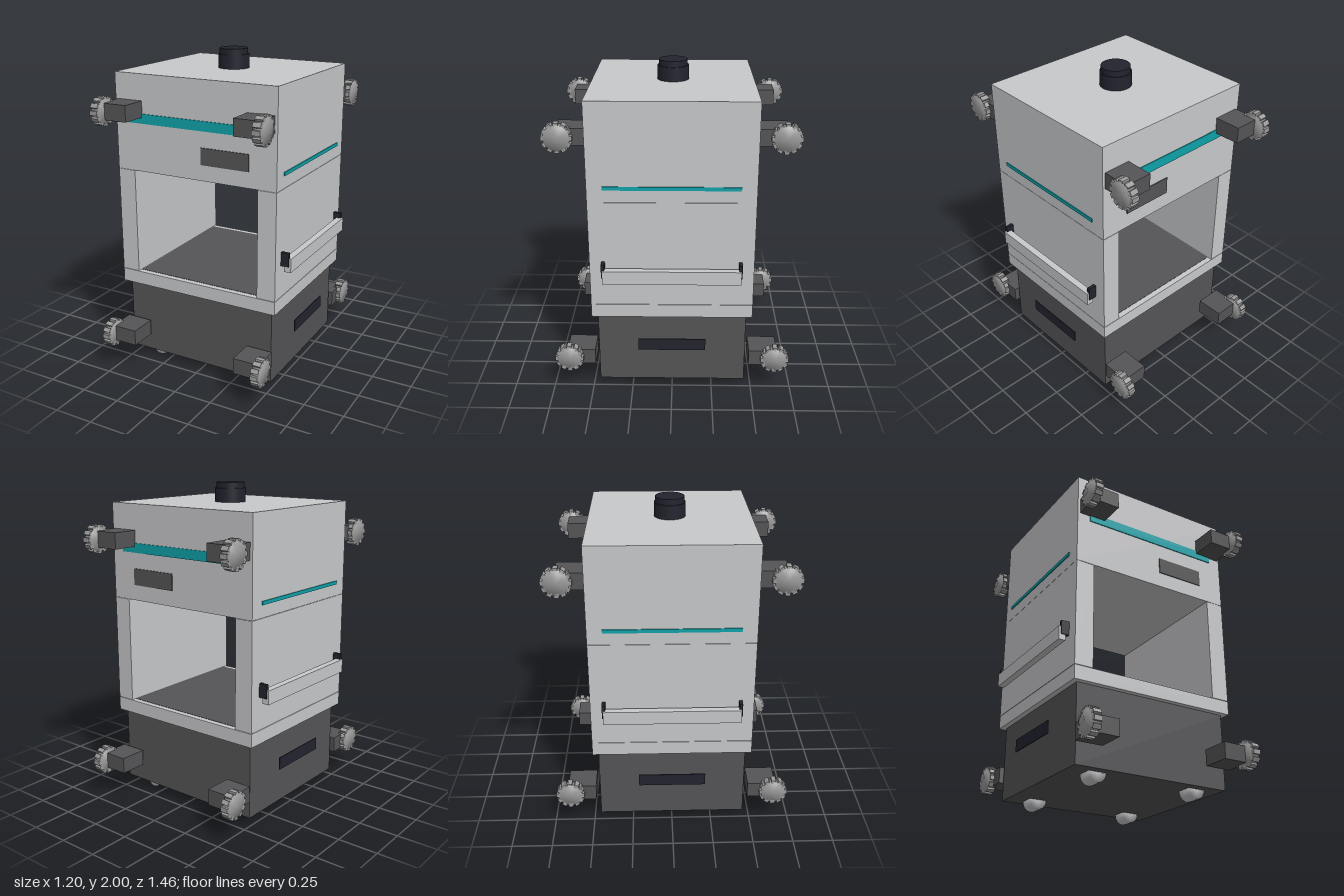
import * as THREE from 'three';

const mat = (name, color) => {
  const m = new THREE.MeshStandardMaterial({ color });
  m.name = name;
  return m;
};

export function createModel() {
  const model = new THREE.Group();
  const shell = mat('light grey shell', 0xc8c9cb);
  const dark = mat('charcoal', 0x555557);
  const navy = mat('navy black', 0x23232f);
  const teal = mat('teal accent', 0x0fa3aa);
  const metal = mat('gear grey', 0x9c9c9c);

  const add = (name, geometry, material, x = 0, y = 0, z = 0, parent = model) => {
    const mesh = new THREE.Mesh(geometry, material);
    mesh.name = name;
    mesh.position.set(x, y, z);
    parent.add(mesh);
    return mesh;
  };
  // Box given by its min and max on each axis
  const box = (name, material, x0, x1, y0, y1, z0, z1) =>
    add(name, new THREE.BoxGeometry(x1 - x0, y1 - y0, z1 - z0), material,
      (x0 + x1) / 2, (y0 + y1) / 2, (z0 + z1) / 2);
  // The same box, mirrored to the side sx = 1 or -1
  const sideBox = (name, material, sx, x0, x1, y0, y1, z0, z1) => {
    const mesh = box(name, material, x0, x1, y0, y1, z0, z1);
    mesh.position.x *= sx;
    return mesh;
  };
  // Softly shaded disc with its axis on y
  const disc = (r, h) => new THREE.LatheGeometry(
    [[0, -h / 2], [r, -h / 2], [r, h / 2], [0, h / 2]].map(p => new THREE.Vector2(...p)), 32);

  // Cabinet
  box('base', dark, -0.505, 0.505, 0.06, 0.53, -0.455, 0.455);
  box('tray', shell, -0.54, 0.54, 0.53, 0.615, -0.49, 0.49);
  box('chamberFloor', dark, -0.42, 0.42, 0.614, 0.617, -0.455, 0.455);
  box('upperHousing', shell, -0.54, 0.54, 1.285, 1.88, -0.49, 0.49);

  // Top knob
  add('knob', new THREE.CylinderGeometry(0.095, 0.095, 0.085, 40), navy, 0, 1.9225, 0);
  add('knobCap', new THREE.CylinderGeometry(0.087, 0.087, 0.035, 40), navy, 0, 1.9825, 0);

  // Side walls, handles and side trim
  for (const sx of [1, -1]) {
    sideBox('sideWall', shell, sx, 0.422, 0.54, 0.618, 1.283, -0.49, 0.49);
    sideBox('sideAccent', teal, sx, 0.54, 0.546, 1.36, 1.382, -0.40, 0.40);
    sideBox('sideVent', navy, sx, 0.541, 0.547, 0.298, 0.376, -0.207, 0.207);
    sideBox('handleBar', shell, sx, 0.56, 0.602, 0.785, 0.87, -0.412, 0.412);
    for (const z of [-0.408, 0.408])
      sideBox('handleBracket', navy, sx, 0.54, 0.59, 0.82, 0.905, z - 0.01, z + 0.01);
  }

  // Trim on the front and back faces
  for (const sz of [1, -1]) {
    const strip = box('accentStrip', teal, -0.455, 0.455, 1.583, 1.642, 0.488, 0.496);
    const panel = box('displayPanel', dark, 0.052, 0.365, 1.382, 1.485, 0.488, 0.496);
    strip.position.z *= sz;
    panel.position.z *= sz;
  }

  // Toothed wheel with its axis on x
  const gear = (x, y, z) => {
    const g = new THREE.Group();
    g.name = 'gearWheel';
    g.position.set(x, y, z);
    add('gearDisc', disc(0.075, 0.05), metal, 0, 0, 0, g).rotation.z = Math.PI / 2;
    for (let i = 0; i < 12; i++) {
      const a = i * Math.PI / 6;
      add('gearTooth', new THREE.BoxGeometry(0.05, 0.025, 0.028), metal,
        0, Math.cos(a) * 0.075, Math.sin(a) * 0.075, g).rotation.x = a;
    }
    model.add(g);
  };

  // Corner arms with gears, and feet
  for (const sx of [1, -1]) for (const sz of [1, -1]) {
    for (const y of [0.23, 1.67]) {
      add('cornerArm', new THREE.BoxGeometry(0.17, 0.1, 0.175), dark, sx * 0.438, y, sz * 0.5675);
      gear(sx * 0.527, y, sz * 0.641);
    }
    add('foot', disc(0.055, 0.095), shell, sx * 0.335, 0.056, sz * 0.352).rotation.x = Math.PI / 2;
  }
  return model;
}
